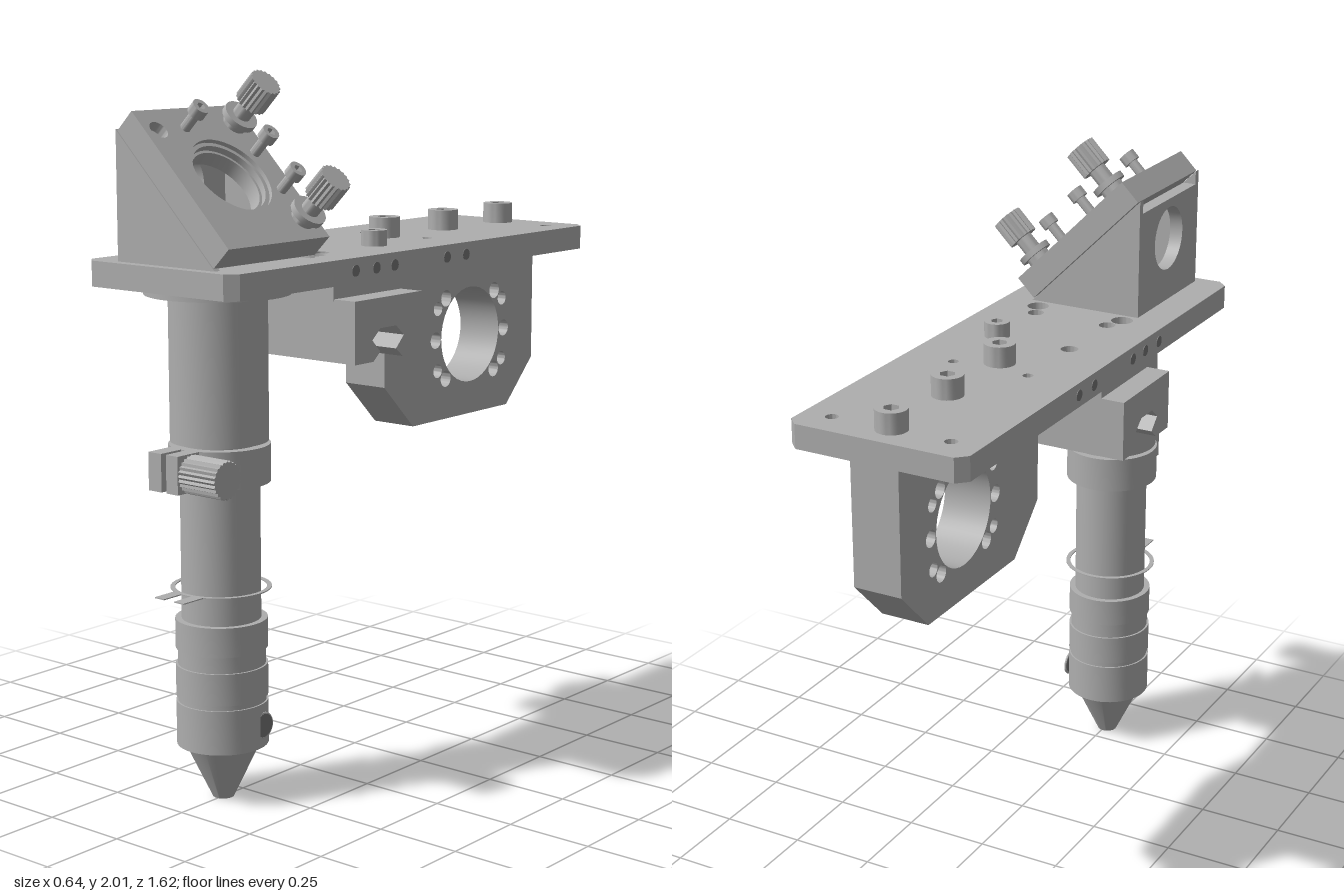
import * as THREE from 'three';
import { toCreasedNormals } from 'three/addons/utils/BufferGeometryUtils.js';

const metal = new THREE.MeshStandardMaterial({ color: 0xaeaeae });
metal.name = 'metal grey';
const recess = new THREE.MeshStandardMaterial({ color: 0x747474 });
recess.name = 'recess grey';

const AX = -0.005, AZ = 0.575; // axis of the nozzle tube

function add(parent, name, geo, mat = metal) {
  const mesh = new THREE.Mesh(toCreasedNormals(geo, 0.6), mat);
  mesh.name = name;
  parent.add(mesh);
  return mesh;
}

function polygon(points, holes = []) {
  const shape = new THREE.Shape(points.map(([x, y]) => new THREE.Vector2(x, y)));
  for (const [x, y, r] of holes) {
    const path = new THREE.Path();
    path.absarc(x, y, r, 0, Math.PI * 2, true);
    shape.holes.push(path);
  }
  return shape;
}

const rect = (x0, y0, x1, y1) => [[x0, y0], [x1, y0], [x1, y1], [x0, y1]];

const circle = (r, n, wave = 0) => Array.from({ length: n }, (_, i) => {
  const a = (i / n) * Math.PI * 2, q = i % 2 ? r - wave : r;
  return [q * Math.cos(a), q * Math.sin(a)];
});

const extrude = (shape, depth) =>
  new THREE.ExtrudeGeometry(shape, { depth, bevelEnabled: false, curveSegments: 20 });

// Shape drawn in (x, -z), raised from y0 to y1
const slab = (shape, y0, y1) => extrude(shape, y1 - y0).rotateX(-Math.PI / 2).translate(0, y0, 0);

// Shape drawn in (-z, y), running from x0 to x1
const sideSlab = (shape, x0, x1) => extrude(shape, x1 - x0).rotateY(Math.PI / 2).translate(x0, 0, 0);

const rod = (r, y0, y1, n = 24) =>
  new THREE.CylinderGeometry(r, r, y1 - y0, n).translate(0, (y0 + y1) / 2, 0);

// Cap screw with a hexagonal socket, standing on y = 0
function socketScrew(parent, name, r, h, shaft = 0) {
  const g = new THREE.Group();
  g.name = name;
  const head = polygon(circle(r, 28));
  head.holes.push(new THREE.Path(circle(r * 0.5, 6).reverse().map(([x, y]) => new THREE.Vector2(x, y))));
  add(g, 'screwHead', slab(head, shaft, shaft + h));
  add(g, 'socketFloor', rod(r * 0.6, shaft, shaft + h * 0.4));
  if (shaft) add(g, 'screwShaft', rod(r * 0.6, -0.02, shaft + 0.005, 16));
  parent.add(g);
  return g;
}

function buildBasePlate(g) {
  const x0 = -0.28, x1 = 0.257, z0 = -0.81, z1 = 0.805, c = 0.03;
  const holes = [
    [-0.19, -0.72, 0.018], [0.17, -0.72, 0.018], [-0.13, -0.205, 0.015], [0.105, -0.205, 0.015],
    [-0.13, 0.04, 0.025], [-0.13, 0.275, 0.024], [0.105, 0.275, 0.024],
    [-0.15, 0.332, 0.032], [0.128, 0.332, 0.032], [AX, AZ, 0.09],
  ].map(([x, z, r]) => [x, -z, r]);
  const outline = [
    [x0 + c, -z1], [x1 - c, -z1], [x1, -z1 + c], [x1, -z0 - c],
    [x1 - c, -z0], [x0 + c, -z0], [x0, -z0 - c], [x0, -z1 + c],
  ];
  add(g, 'basePlate', slab(polygon(outline, holes), 1.44, 1.51));
  for (const z of [0.31, 0.22, 0.14, -0.1, -0.19]) {
    for (const x of [x0, x1])
      add(g, 'edgeHole', rod(0.016, -0.002, 0.002, 16).rotateZ(Math.PI / 2), recess).position.set(x, 1.475, z);
  }
  for (const z of [-0.72, -0.437, -0.153])
    socketScrew(g, 'plateScrew', 0.045, 0.06).position.set(-0.013, 1.51, z);
  socketScrew(g, 'railScrew', 0.037, 0.045).position.set(0.105, 1.51, 0.042);
}

function buildRearBracket(g) {
  const cz = 0.482, cy = 1.19;
  const holes = [[cz, cy, 0.146]];
  for (const s of [-1, 1]) {
    for (const a of [-45, 0, 45]) holes.push([cz + s * 0.173 * Math.cos(a * Math.PI / 180), cy + 0.173 * Math.sin(a * Math.PI / 180), 0.025]);
    for (const a of [-30, 30]) holes.push([cz + s * 0.188 * Math.cos(a * Math.PI / 180), cy + 0.188 * Math.sin(a * Math.PI / 180), 0.021]);
  }
  const outline = [[0.063, 1.44], [0.063, 1.08], [0.2, 0.945], [0.675, 0.945], [0.808, 1.08], [0.808, 1.44]];
  add(g, 'rearBracket', sideSlab(polygon(outline, holes), -0.085, 0.06));
}

function buildDovetail(g) {
  const outline = [
    [-0.31, 1.39], [-0.31, 1.215], [-0.23, 1.215], [-0.2, 1.24], [-0.235, 1.275], [-0.2, 1.305],
    [-0.13, 1.305], [-0.095, 1.275], [-0.13, 1.24], [-0.1, 1.215], [-0.015, 1.215], [-0.015, 1.39],
  ];
  add(g, 'dovetailRail', sideSlab(polygon(outline), -0.316, 0.255));
  add(g, 'dovetailRiser', sideSlab(polygon(rect(-0.312, 1.385, -0.015, 1.44)), -0.245, 0.18));
}

function buildNozzle(g) {
  const lathe = (name, pts) => {
    const m = add(g, name, new THREE.LatheGeometry(pts.map(([r, y]) => new THREE.Vector2(r, y)), 48));
    m.position.set(AX, 0, AZ);
    return m;
  };
  const ring = (r, inner, y0, y1) => [[inner, y0], [r, y0], [r, y1], [inner, y1], [inner, y0]];
  lathe('mountFlange', ring(0.2, 0.09, 1.42, 1.44));
  lathe('upperTube', ring(0.135, 0.09, 1.018, 1.42));
  lathe('lowerTube', ring(0.11, 0.09, 0.5, 1.02));
  lathe('upperCollar', ring(0.128, 0.09, 0.437, 0.52));
  lathe('collarGroove', ring(0.122, 0.09, 0.39, 0.437));
  lathe('middleCollar', ring(0.128, 0.09, 0.3, 0.39));
  lathe('lowerGroove', ring(0.123, 0.09, 0.285, 0.3));
  lathe('lowerCollar', ring(0.128, 0.09, 0.16, 0.285));
  lathe('nozzleTip', [[0.01, 0], [0.03, 0], [0.106, 0.16], [0.09, 0.16], [0.01, 0]]);
  // Gas port in the lower collar
  const port = new THREE.Group();
  port.name = 'gasPort';
  add(port, 'portRim', new THREE.TorusGeometry(0.034, 0.004, 8, 28).rotateY(Math.PI / 2));
  add(port, 'portRecess', rod(0.033, -0.004, 0.003).rotateZ(Math.PI / 2), recess);
  port.position.set(AX + 0.123, 0.222, 0.543);
  g.add(port);

  // Split clamp with two ears and a fluted thumb screw
  lathe('clampRing', ring(0.14, 0.1, 0.905, 1.01));
  for (const [x0, x1] of [[-0.065, -0.018], [0, 0.042]])
    add(g, 'clampEar', slab(polygon(rect(x0, -0.79, x1, -0.69)), 0.905, 1.01));
  add(g, 'thumbScrewShaft', rod(0.02, -0.05, 0.06, 16).rotateZ(Math.PI / 2)).position.set(0, 0.957, 0.745);
  add(g, 'thumbScrewKnob', sideSlab(polygon(circle(0.053, 48, 0.005)), 0.05, 0.18)).position.set(0, 0.957, 0.745);

  // Thin loose ring with tabs below the clamp
  const washer = polygon(circle(0.14, 40), [[0, 0, 0.127]]);
  add(g, 'thinRing', slab(washer, 0.605, 0.608)).position.set(AX, 0, AZ);
  for (const x of [-0.06, 0.012])
    add(g, 'thinRingTab', slab(polygon(rect(x, -0.78, x + 0.035, -0.7)), 0.605, 0.608));
}

function buildMirrorMount(g) {
  const mount = new THREE.Group();
  mount.name = 'mirrorMount';
  g.add(mount);
  // Hollow wedge: two triangular cheeks, a back wall and a floor, both bored
  const tri = polygon([[-0.18, 1.51], [0.17, 1.51], [-0.18, 1.86]]);
  for (const z of [0.375, 0.755]) add(mount, 'wedgeCheek', extrude(tri, 0.02)).position.z = z;
  add(mount, 'wedgeBack', sideSlab(polygon(rect(-0.756, 1.51, -0.394, 1.82), [[-AZ, 1.7, 0.095]]), -0.18, -0.14));
  add(mount, 'wedgeFloor', slab(polygon(rect(-0.14, -0.756, 0.13, -0.394), [[AX, -AZ, 0.09]]), 1.51, 1.55));

  // Tilted plate; local y is its normal, local x runs downhill
  const tilt = new THREE.Group();
  tilt.name = 'tiltPlate';
  tilt.position.set(0.05, 1.74, AZ);
  tilt.rotation.z = -Math.PI / 4;
  mount.add(tilt);
  const face = rect(-0.24, -0.2, 0.24, 0.2);
  add(tilt, 'plateFront', slab(polygon(face, [[0, 0, 0.125], [-0.17, -0.15, 0.028]]), -0.03, 0));
  add(tilt, 'plateBack', slab(polygon(face, [[0, 0, 0.105]]), -0.075, -0.03));
  add(tilt, 'retainingRing', slab(polygon(circle(0.125, 40), [[0, 0, 0.113]]), -0.03, -0.012));

  // Fine adjusters
  for (const u of [-0.172, 0.172]) {
    const k = new THREE.Group();
    k.name = 'adjuster';
    k.position.set(u, 0, -0.145);
    add(k, 'adjusterStem', rod(0.026, -0.01, 0.1));
    add(k, 'adjusterNut', rod(0.035, 0, 0.02));
    add(k, 'adjusterFlange', rod(0.05, 0.02, 0.038));
    add(k, 'adjusterKnob', slab(polygon(circle(0.046, 40, 0.005)), 0.085, 0.165));
    tilt.add(k);
  }
  // Spring screws
  for (const [u, z] of [[-0.067, -0.145], [0.067, -0.145], [-0.17, 0.05]])
    socketScrew(tilt, 'springScrew', 0.025, 0.03, 0.055).position.set(u, 0, z);
}

export function createModel() {
  const model = new THREE.Group();
  model.name = 'nozzleAssembly';
  for (const build of [buildBasePlate, buildRearBracket, buildDovetail, buildNozzle, buildMirrorMount]) build(model);
  return model;
}
